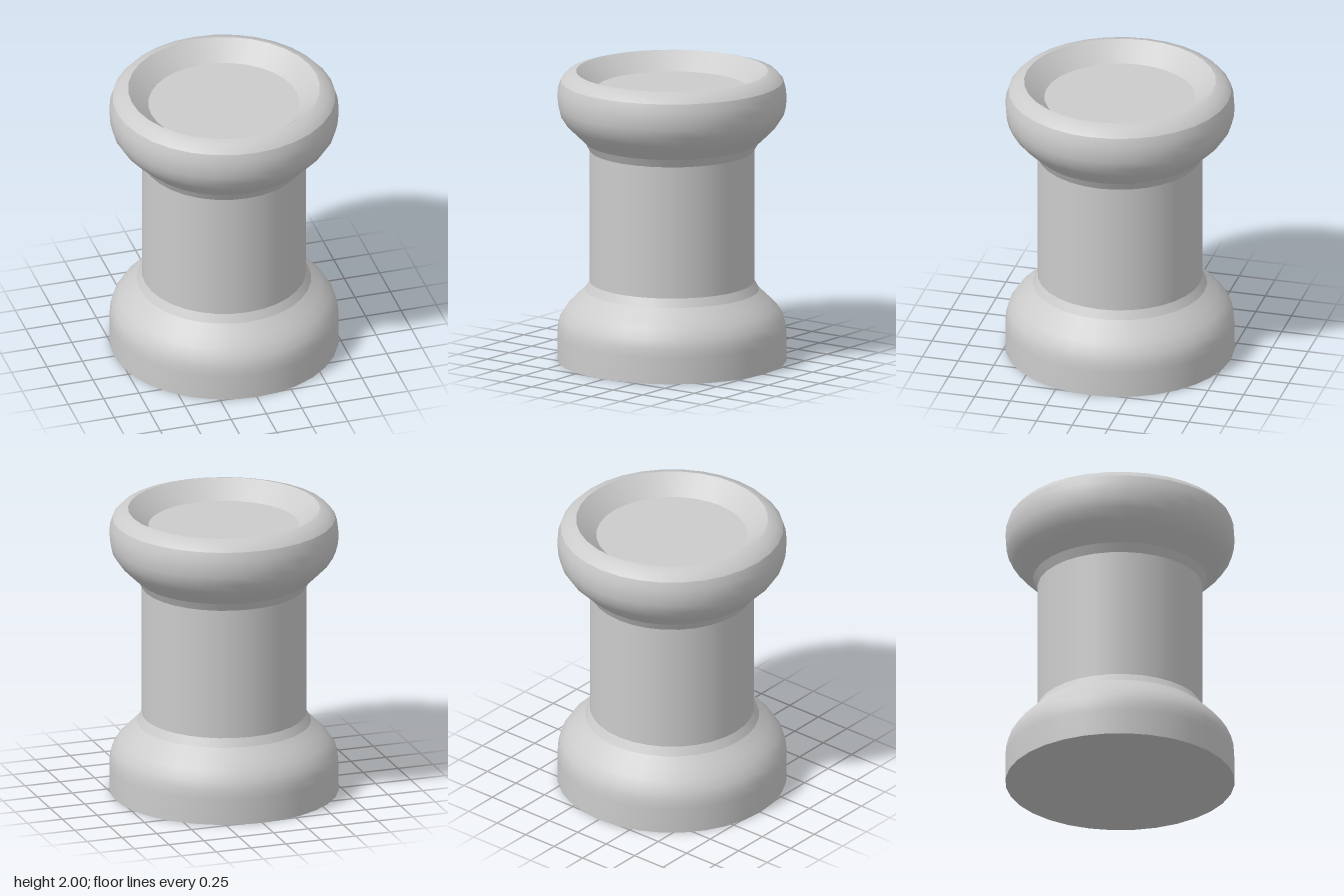
import * as THREE from 'three';

const SIDES = 32;
const material = new THREE.MeshStandardMaterial({ color: 0xcccccc });

// Revolves one smooth stretch of the profile; separate stretches meet in a crease
function turned(name, points) {
  const profile = points.map(([r, y]) => new THREE.Vector2(r, y));
  const mesh = new THREE.Mesh(new THREE.LatheGeometry(profile, SIDES), material);
  mesh.name = name;
  return mesh;
}

export function createModel() {
  const model = new THREE.Group();
  model.name = 'spool';

  // Rounded bulge of the foot; the head mirrors it about mid-height
  const bulge = [[0.777, 0.18], [0.772, 0.24], [0.757, 0.3], [0.715, 0.365], [0.66, 0.42], [0.59, 0.487]];
  const mirrored = (points) => points.map(([r, y]) => [r, 2 - y]).reverse();

  // Foot
  model.add(turned('footUnderside', [[0, 0], [0.777, 0]]));
  model.add(turned('foot', [[0.777, 0], ...bulge]));

  // Column with a short flare at each end
  const flare = [[0.59, 0.487], [0.558, 0.545]];
  model.add(turned('lowerFlare', flare));
  model.add(turned('column', [[0.558, 0.545], [0.558, 1.455]]));
  model.add(turned('upperFlare', mirrored(flare)));

  // Head with a bevelled rim
  model.add(turned('head', [...mirrored(bulge), [0.772, 1.88], [0.755, 1.935]]));
  model.add(turned('rimBevel', [[0.755, 1.935], [0.712, 1.982], [0.65, 2]]));

  // Shallow dish in the top
  model.add(turned('dishWall', [[0.65, 2], [0.513, 1.88]]));
  model.add(turned('dishFloor', [[0.513, 1.88], [0, 1.88]]));

  return model;
}
